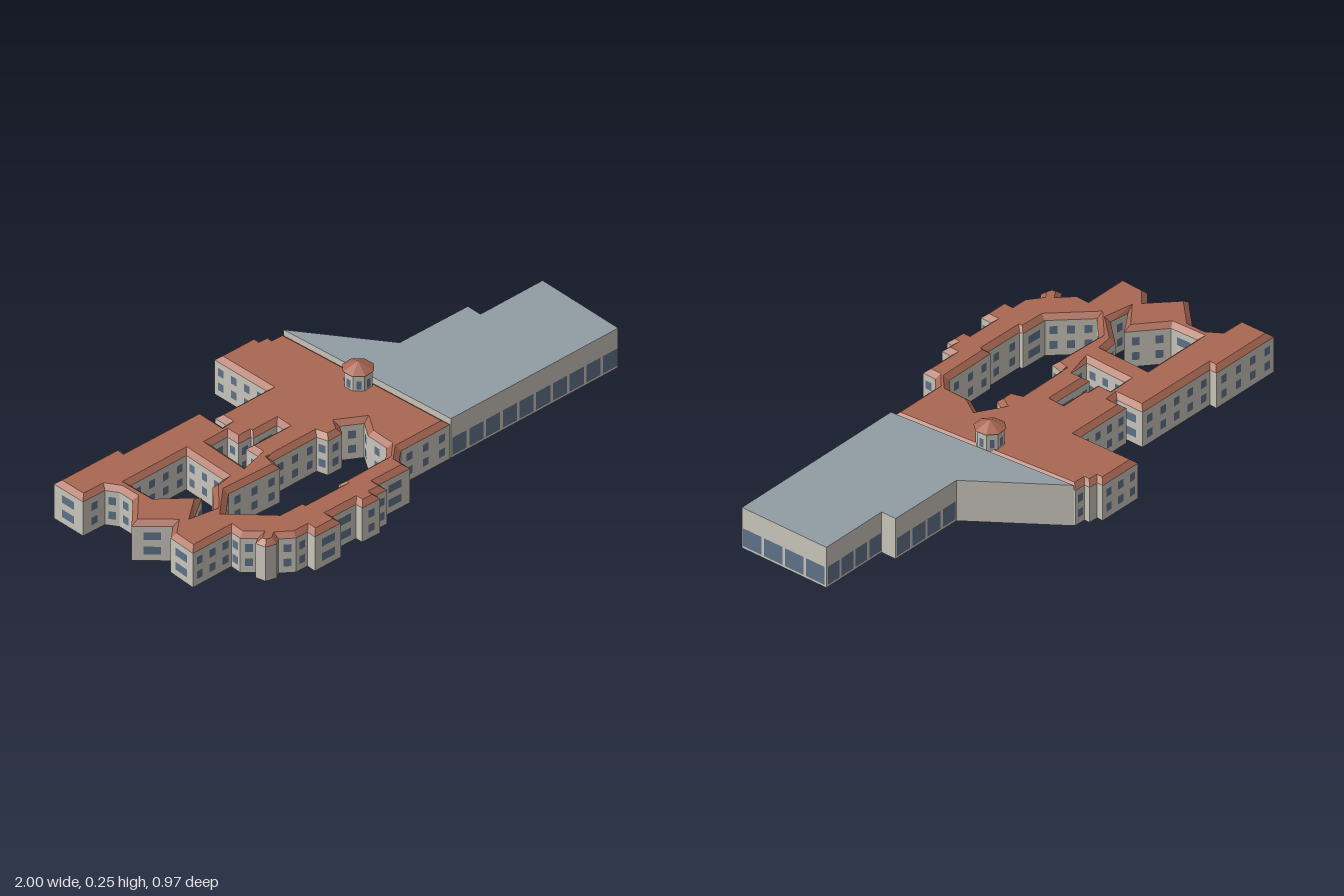
import * as THREE from 'three';
import { mergeGeometries } from 'three/addons/utils/BufferGeometryUtils.js';

const mat = (name, color) => new THREE.MeshStandardMaterial({ name, color, side: THREE.DoubleSide });

// Turns a plan outline (x, z) so that the building always lies on the same side of its edges
function outline(points, isHole = false) {
  const p = points.map(([x, z]) => new THREE.Vector2(x, z));
  return (THREE.ShapeUtils.area(p) > 0) === isHole ? p.reverse() : p;
}

// Moves every edge towards the inside of the building, mitring the corners
function inset(poly, dist) {
  return poly.map((p, i) => {
    const n = poly.length;
    const d1 = p.clone().sub(poly[(i + n - 1) % n]).normalize();
    const d2 = poly[(i + 1) % n].clone().sub(p).normalize();
    const n1 = new THREE.Vector2(-d1.y, d1.x);
    const n2 = new THREE.Vector2(-d2.y, d2.x);
    const k = dist / Math.max(1 + n1.dot(n2), 0.4);
    return p.clone().addScaledVector(n1.add(n2), k);
  });
}

// Closed band of flat faces between two outlines at two heights
function band(low, y0, high, y1) {
  const pos = [];
  low.forEach((a, i) => {
    const j = (i + 1) % low.length;
    const b = low[j], c = high[i], d = high[j];
    pos.push(a.x, y0, a.y, c.x, y1, c.y, b.x, y0, b.y);
    pos.push(b.x, y0, b.y, c.x, y1, c.y, d.x, y1, d.y);
  });
  const g = new THREE.BufferGeometry();
  g.setAttribute('position', new THREE.Float32BufferAttribute(pos, 3));
  g.computeVertexNormals();
  return g;
}

// Horizontal slab face with courtyards cut out
function deck(outer, holes, y) {
  const flip = (p) => p.map((v) => new THREE.Vector2(v.x, -v.y));
  const shape = new THREE.Shape(flip(outer));
  shape.holes = holes.map((h) => new THREE.Path(flip(h)));
  return new THREE.ShapeGeometry(shape).rotateX(-Math.PI / 2).translate(0, y, 0);
}

// Row of evenly spaced window panes on the wall from a to b
function windowRow(a, b, count, width, y, height) {
  const d = b.clone().sub(a).normalize();
  const out = new THREE.Vector2(d.y, -d.x);
  return Array.from({ length: count }, (_, i) => {
    const p = a.clone().lerp(b, (i + 0.5) / count).addScaledVector(out, 0.002);
    return new THREE.PlaneGeometry(width, height)
      .rotateY(Math.atan2(out.x, out.y)).translate(p.x, y, p.y);
  });
}

export function createModel() {
  const model = new THREE.Group();
  model.name = 'buildingComplex';
  const plaster = mat('wall plaster', 0xcbc7bd);
  const tile = mat('roof tile', 0xa86753);
  const flatRoof = mat('grey flat roof', 0x919ca4);
  const glass = mat('window glass', 0x5f7389);
  const add = (name, geometry, material, parent = model) => {
    const mesh = new THREE.Mesh(geometry, material);
    mesh.name = name;
    parent.add(mesh);
    return mesh;
  };

  // Main building plan
  const outer = outline([
    [-0.99, -0.4], [-0.69, -0.375], [-0.695, -0.345], [-0.345, -0.315], [-0.355, -0.2],
    [-0.337, -0.2], [-0.333, -0.255], [-0.095, -0.235], [-0.08, -0.49], [0.105, -0.475],
    [0.102, -0.45], [0.14, -0.445], [0.138, -0.423], [0.185, -0.418], [0.183, 0.36],
    [-0.045, 0.342], [-0.095, 0.38], [-0.1, 0.435], [-0.243, 0.422], [-0.247, 0.462],
    [-0.297, 0.457], [-0.3, 0.48], [-0.382, 0.472], [-0.38, 0.442], [-0.49, 0.432],
    [-0.495, 0.478], [-0.617, 0.468], [-0.612, 0.43], [-0.665, 0.425], [-0.71, 0.385],
    [-0.735, 0.4], [-0.775, 0.385], [-0.782, 0.345], [-0.755, 0.33], [-0.795, 0.285],
    [-0.79, 0.24], [-0.97, 0.227], [-0.955, 0.11], [-0.9, 0.07], [-0.995, -0.035],
    [-0.88, -0.135], [-0.875, -0.2], [-0.9, -0.245], [-1.0, -0.255],
  ]);

  // Three courtyards
  const holes = [
    [[-0.82, -0.2], [-0.56, -0.18], [-0.58, 0.01], [-0.64, 0.015], [-0.735, 0.105],
      [-0.815, 0.09], [-0.71, 0.03], [-0.825, -0.085]],
    [[-0.46, -0.155], [-0.385, -0.15], [-0.39, -0.095], [-0.332, -0.09], [-0.33, -0.08],
      [-0.22, -0.072], [-0.224, -0.04], [-0.335, -0.05], [-0.395, -0.055], [-0.4, 0.025], [-0.48, 0.02]],
    [[-0.725, 0.155], [-0.63, 0.08], [-0.4, 0.107], [-0.385, 0.06], [-0.18, 0.075], [-0.17, 0.12],
      [-0.105, 0.125], [-0.08, 0.09], [-0.01, 0.14], [-0.055, 0.2], [-0.065, 0.295], [-0.115, 0.335],
      [-0.335, 0.32], [-0.337, 0.333], [-0.5, 0.318], [-0.5, 0.304], [-0.61, 0.292]],
  ].map((h) => outline(h, true));

  // Walls, sloping tile edge and flat tile top
  const EAVE = 0.143, TOP = 0.16;
  const rings = [outer, ...holes];
  const inner = rings.map((r) => inset(r, 0.02));
  add('mainWalls', mergeGeometries(rings.map((r) => band(r, 0, r, EAVE))), plaster);
  add('roofSlopes', mergeGeometries(rings.map((r, i) => band(r, EAVE, inner[i], TOP))), tile);
  add('roofTop', deck(inner[0], inner.slice(1), TOP), tile);

  // Two storeys of windows on every wall long enough
  const panes = [];
  for (const ring of rings) {
    ring.forEach((a, i) => {
      const b = ring[(i + 1) % ring.length];
      const len = a.distanceTo(b);
      const besideWing = a.x > 0.18 && b.x > 0.18;
      if (len < 0.045 || besideWing) return;
      const single = len < 0.16;
      const count = single ? 1 : Math.round(len / 0.067);
      const width = single && len > 0.105 ? 0.06 : 0.027;
      for (const y of [0.044, 0.104]) panes.push(...windowRow(a, b, count, width, y, 0.032));
    });
  }
  add('mainWindows', mergeGeometries(panes), glass);

  // Large flat-roofed wing
  const wing = outline([
    [0.188, -0.415], [0.4, -0.072], [0.715, -0.045], [0.71, 0.018],
    [1.0, 0.04], [0.968, 0.42], [0.188, 0.36],
  ]);
  add('wingWalls', band(wing, 0, wing, 0.165), plaster);
  add('wingRoof', deck(wing, [], 0.165), flatRoof);
  const bays = [0, 4, 0, 4, 4, 10, 0];
  const wingPanes = bays.flatMap((count, i) => {
    const a = wing[i], b = wing[(i + 1) % wing.length];
    return windowRow(a, b, count, a.distanceTo(b) / Math.max(count, 1) - 0.012, 0.047, 0.073);
  });
  add('wingWindows', mergeGeometries(wingPanes), glass);

  // Eight-sided lookout tower
  const tower = new THREE.Group();
  tower.name = 'tower';
  tower.position.set(0.134, 0, -0.02);
  model.add(tower);
  const octagon = (r) => outline(Array.from({ length: 8 }, (_, i) => {
    const t = (i + 0.5) * Math.PI / 4;
    return [r * Math.cos(t), r * Math.sin(t)];
  }));
  const shaft = octagon(0.051);
  add('towerWalls', band(shaft, 0.15, shaft, 0.226), plaster, tower);
  const towerPanes = shaft.flatMap((a, i) => windowRow(a, shaft[(i + 1) % 8], 1, 0.017, 0.184, 0.034));
  add('towerWindows', mergeGeometries(towerPanes), glass, tower);
  const eave = octagon(0.058);
  add('towerRoof', band(eave, 0.225, octagon(0.0005), 0.253), tile, tower);
  add('towerEaveUnderside', deck(eave, [], 0.225), tile, tower);
  return model;
}
